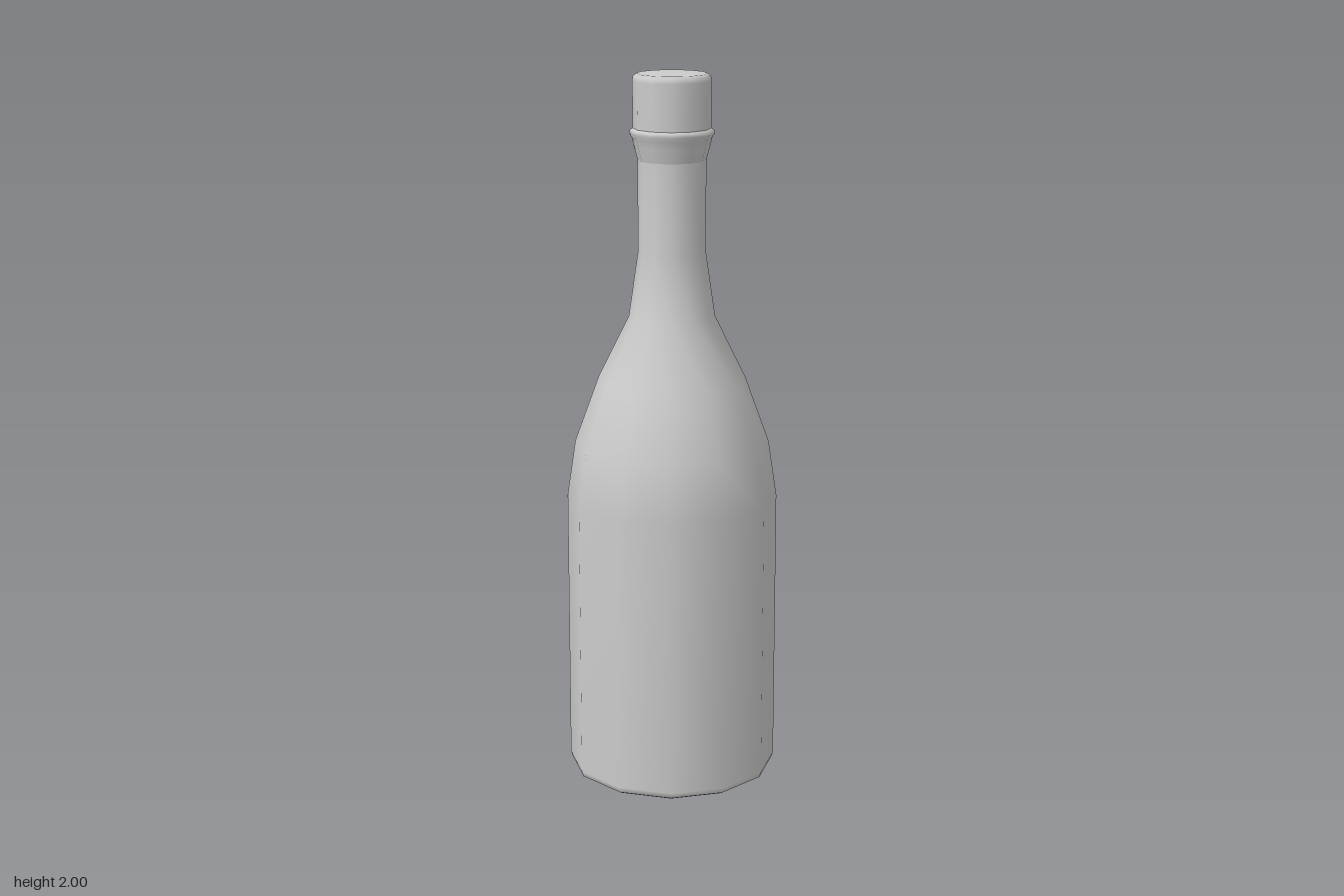
import * as THREE from 'three';

const SIDES = 12;

// Smooth twelve-sided turned part from [radius, height] pairs, bottom to top
function turned(name, profile, material) {
  const points = profile.map(([r, y]) => new THREE.Vector2(r, y));
  const mesh = new THREE.Mesh(new THREE.LatheGeometry(points, SIDES), material);
  mesh.name = name;
  return mesh;
}

export function createModel() {
  const group = new THREE.Group();
  group.name = 'bottle';
  const material = new THREE.MeshStandardMaterial({ color: 0xcccccc });

  // Hollow base dome, running out to the standing rim
  group.add(turned('basePunt', [
    [0, 0.1], [0.1, 0.085], [0.18, 0.05], [0.235, 0.005], [0.25, 0], [0.282, 0],
  ], material));

  // Body, shoulder and neck
  group.add(turned('body', [
    [0.282, 0], [0.292, 0.006], [0.297, 0.022], [0.297, 0.81], [0.273, 0.97],
    [0.206, 1.155], [0.12, 1.33], [0.094, 1.51], [0.094, 1.765],
  ], material));

  // Flared collar below the cap
  group.add(turned('collar', [
    [0.094, 1.765], [0.105, 1.805], [0.109, 1.825], [0.117, 1.838],
    [0.115, 1.848], [0.107, 1.852],
  ], material));

  // Cap with a softened top edge
  group.add(turned('cap', [
    [0.107, 1.85], [0.108, 1.98], [0.106, 1.992], [0.097, 2], [0, 2],
  ], material));

  return group;
}
